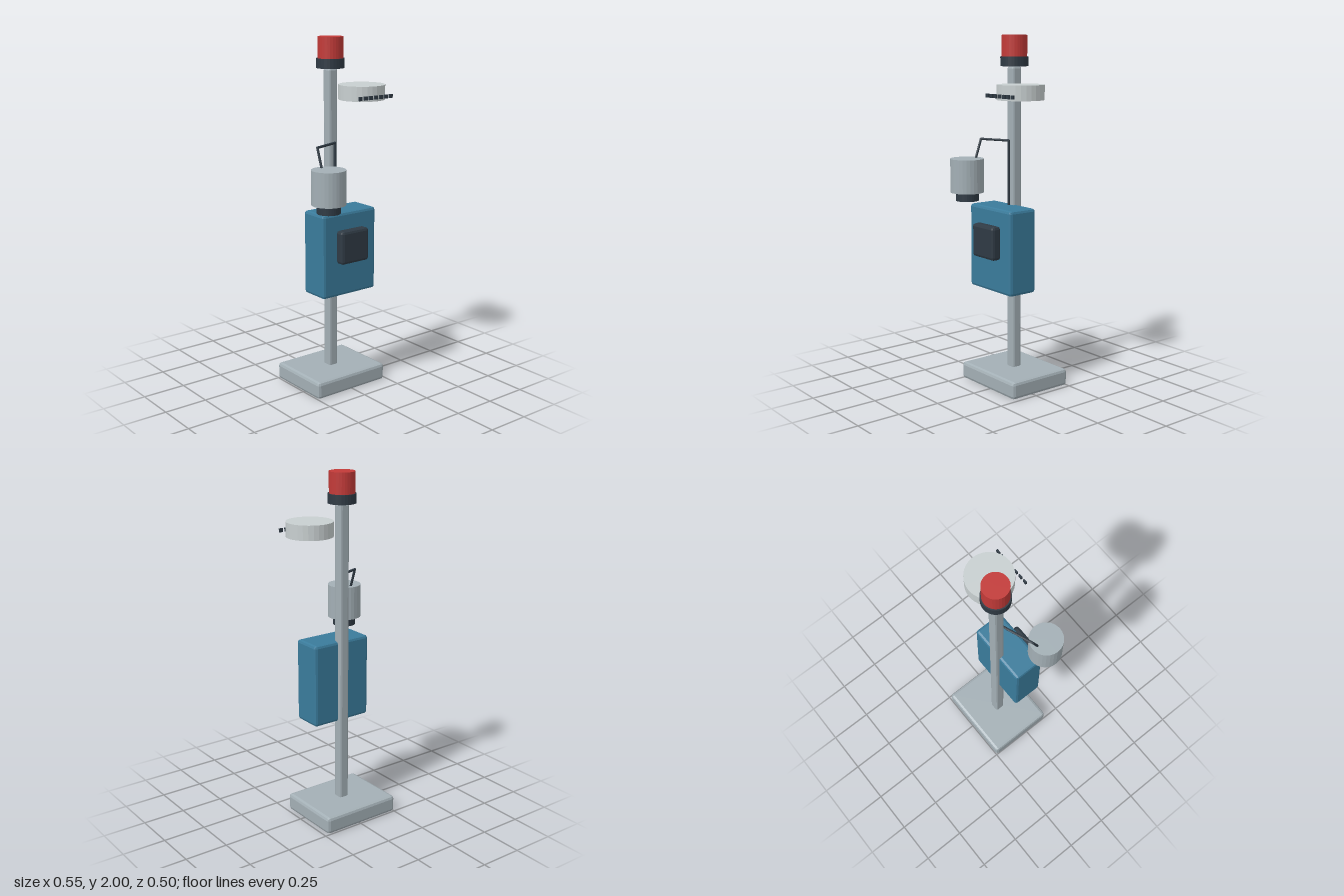
import * as THREE from 'three';
import { RoundedBoxGeometry } from 'three/addons/geometries/RoundedBoxGeometry.js';

const material = (color) => new THREE.MeshStandardMaterial({ color, flatShading: true });
const steel = material(0xa3afb5);
const dark = material(0x2f3a44);
const blue = material(0x3a7b9b);
const red = material(0xc23a38);
const pale = material(0xc8cfd0);

export function createModel() {
  const model = new THREE.Group();

  const add = (name, geometry, mat, x, y, z, parent = model) => {
    const mesh = new THREE.Mesh(geometry, mat);
    mesh.name = name;
    mesh.position.set(x, y, z);
    parent.add(mesh);
    return mesh;
  };
  // Chamfered box given by its centre and size
  const box = (name, mat, [x, y, z], [w, h, d], bevel) =>
    add(name, new RoundedBoxGeometry(w, h, d, 1, bevel), mat, x, y, z);
  // Upright cylinder given by its bottom and top heights
  const drum = (name, mat, x, z, radius, bottom, top, sides = 28) =>
    add(name, new THREE.CylinderGeometry(radius, radius, top - bottom, sides), mat, x, (bottom + top) / 2, z);

  // Stand
  const px = -0.01, pz = -0.05;
  box('base', steel, [px, 0.05, pz], [0.484, 0.1, 0.4], 0.018);
  box('post', steel, [px, 0.955, pz], [0.06, 1.75, 0.06], 0.012);

  // Control cabinet with raised panel
  box('cabinet', blue, [px, 0.815, 0.035], [0.37, 0.48, 0.18], 0.016);
  box('cabinetPanel', dark, [px, 0.865, 0.148], [0.19, 0.19, 0.06], 0.016);

  // Warning beacon on top of the post
  drum('beaconCollar', dark, px, pz, 0.078, 1.83, 1.883);
  drum('beaconLamp', red, px, pz, 0.071, 1.883, 2.0);

  // Round detector with a row of vents at the front
  drum('detectorDisc', pale, 0.145, 0.032, 0.13, 1.655, 1.737);
  const vents = new THREE.Group();
  vents.name = 'detectorVents';
  model.add(vents);
  for (let i = 0; i < 7; i++) {
    add('vent', new THREE.BoxGeometry(0.022, 0.021, 0.009), dark, 0.027 + i * 0.0357, 1.677, 0.166, vents);
  }

  // Hanging gas sensor
  const sx = -0.181, sz = 0.154;
  drum('sensorBody', steel, sx, sz, 0.095, 1.124, 1.315);
  drum('sensorNozzle', dark, sx, sz, 0.065, 1.076, 1.124);

  // Bent conduit from the cabinet to the sensor: straight runs with joint balls
  const conduit = new THREE.Group();
  conduit.name = 'conduit';
  model.add(conduit);
  const radius = 0.007;
  const path = [[px, 1.04, -0.01], [px, 1.42, -0.01], [sx, 1.42, 0.055], [sx, 1.305, 0.095]]
    .map((p) => new THREE.Vector3(...p));
  for (let i = 0; i < path.length - 1; i++) {
    const [a, b] = [path[i], path[i + 1]];
    const run = b.clone().sub(a);
    const mid = a.clone().lerp(b, 0.5);
    const pipe = add('conduitRun', new THREE.CylinderGeometry(radius, radius, run.length(), 8), dark, mid.x, mid.y, mid.z, conduit);
    pipe.quaternion.setFromUnitVectors(new THREE.Vector3(0, 1, 0), run.normalize());
    if (i > 0) add('conduitBend', new THREE.SphereGeometry(radius, 8, 6), dark, a.x, a.y, a.z, conduit);
  }

  return model;
}
